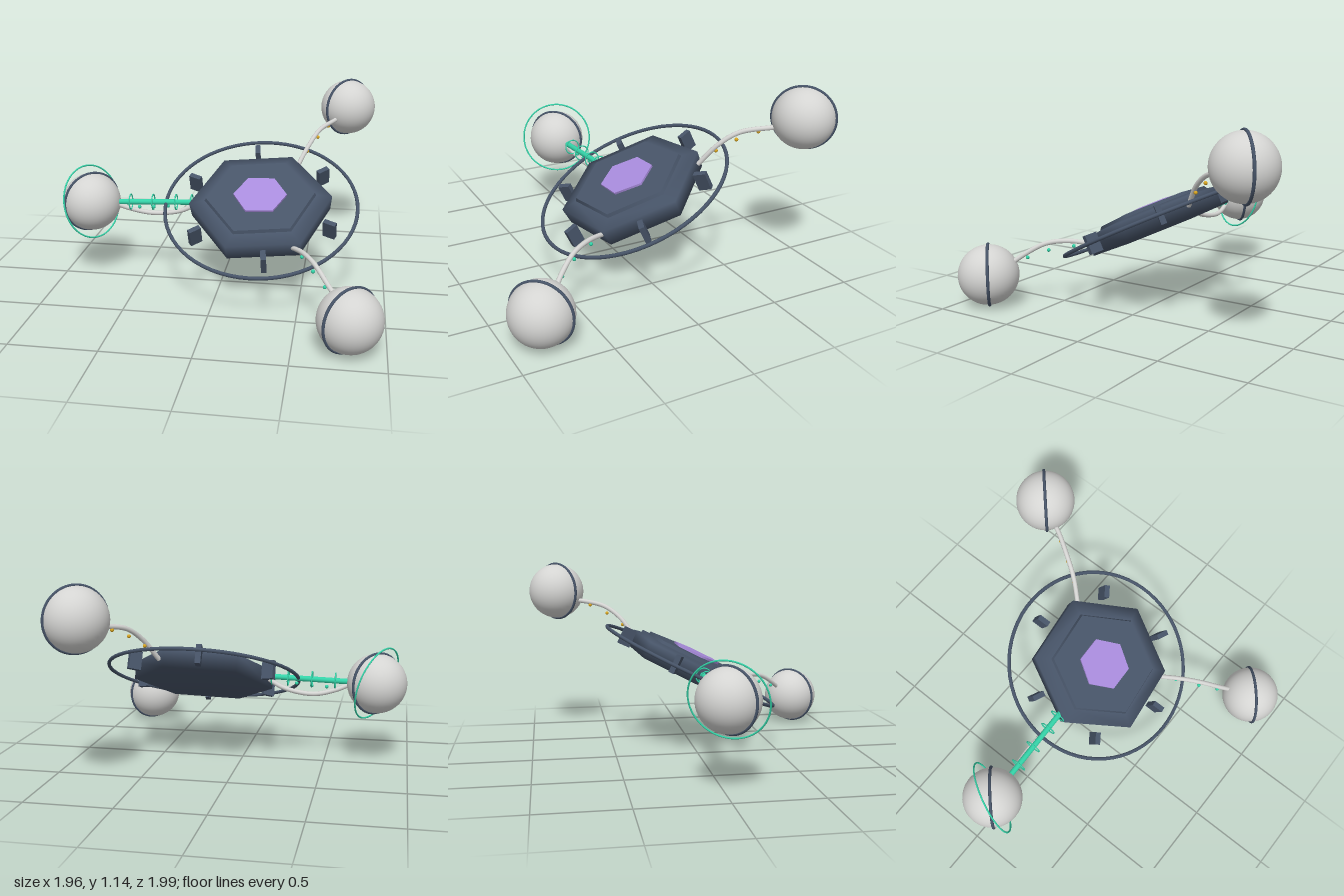
import * as THREE from 'three';

const mat = (name, color) => {
  const m = new THREE.MeshStandardMaterial({ color });
  m.name = name;
  return m;
};
const V = (a) => new THREE.Vector3(...a);
const rad = THREE.MathUtils.degToRad;

export function createModel() {
  const slate = mat('slate', 0x475468);
  const pale = mat('paleGrey', 0xd4d4d2);
  const purple = mat('purple', 0xa88bdc);
  const green = mat('green', 0x34d3a8);
  const gold = mat('gold', 0xd9a520);

  const root = new THREE.Group();
  root.name = 'hubWithPods';
  const add = (parent, name, geometry, material, pos = [0, 0, 0]) => {
    const mesh = new THREE.Mesh(geometry, material);
    mesh.name = name;
    mesh.position.set(...pos);
    parent.add(mesh);
    return mesh;
  };
  // Torus whose axis points along the given direction
  const hoop = (parent, name, r, tube, material, axis, pos) => {
    const mesh = add(parent, name, new THREE.TorusGeometry(r, tube, 8, 64), material, pos);
    mesh.quaternion.setFromUnitVectors(new THREE.Vector3(0, 0, 1), V(axis).normalize());
    return mesh;
  };

  // Tilted hexagonal hub
  const hub = new THREE.Group();
  hub.name = 'hub';
  hub.position.set(0.24, 0.52, -0.005);
  hub.rotation.x = rad(26);
  root.add(hub);
  const profile = [[0, -0.06], [0.42, -0.06], [0.43, 0.045], [0.34, 0.062], [0, 0.062]]
    .map(([x, y]) => new THREE.Vector2(x, y));
  add(hub, 'hubBody', new THREE.LatheGeometry(profile, 6, rad(38)), slate);
  add(hub, 'topPlate', new THREE.CylinderGeometry(0.325, 0.34, 0.03, 6, 1, false, rad(38)), slate, [0, 0.066, 0]);
  add(hub, 'centrePlaque', new THREE.CylinderGeometry(0.16, 0.16, 0.014, 6, 1, false, rad(33)), purple, [0, 0.087, 0]);
  hoop(hub, 'outerRing', 0.58, 0.011, slate, [0, 1, 0]);

  // Fins around the hub, one per side
  for (let i = 0; i < 6; i++) {
    const a = rad(22 + 60 * i);
    const fin = add(hub, 'fin', new THREE.BoxGeometry(0.075, 0.11, 0.032), slate,
      [0.455 * Math.cos(a), 0, 0.455 * Math.sin(a)]);
    fin.rotation.y = -a;
  }

  // Pods with their curved arms and bead trails
  const pods = [
    {
      name: 'rightPod', at: [-0.806, 0.5, 0.02], bead: green,
      arm: [[-0.14, 0.515, 0], [-0.26, 0.455, -0.01], [-0.43, 0.43, -0.022], [-0.56, 0.455, -0.005], [-0.66, 0.495, 0.02]],
      beads: [[-0.51, 0.473, 0], [-0.42, 0.477, 0], [-0.33, 0.487, 0]],
    },
    {
      name: 'backPod', at: [0.73, 0.966, -0.825], bead: gold,
      arm: [[0.43, 0.67, -0.33], [0.5, 0.8, -0.42], [0.56, 0.875, -0.52], [0.645, 0.905, -0.66], [0.67, 0.91, -0.72]],
      beads: [[0.49, 0.76, -0.41], [0.55, 0.83, -0.505], [0.61, 0.88, -0.61]],
    },
    {
      name: 'frontPod', at: [0.8, 0.198, 0.815], bead: green,
      arm: [[0.45, 0.373, 0.28], [0.53, 0.395, 0.42], [0.6, 0.38, 0.54], [0.67, 0.32, 0.64], [0.73, 0.26, 0.71]],
      beads: [[0.52, 0.365, 0.4], [0.59, 0.338, 0.533], [0.66, 0.295, 0.635]],
    },
  ];
  for (const p of pods) {
    const pod = new THREE.Group();
    pod.name = p.name;
    root.add(pod);
    add(pod, 'podSphere', new THREE.SphereGeometry(0.177, 40, 28), pale, p.at);
    hoop(pod, 'podBand', 0.179, 0.009, slate, [0.67, 0, 0.74], p.at);
    const curve = new THREE.CatmullRomCurve3(p.arm.map(V));
    add(pod, 'arm', new THREE.TubeGeometry(curve, 32, 0.014, 10), pale);
    for (const b of p.beads) add(pod, 'bead', new THREE.SphereGeometry(0.011, 12, 8), p.bead, b);
  }

  // Energised link on the right pod: rod, coils and orbit ring
  const rodPath = new THREE.LineCurve3(V([-0.64, 0.505, 0.016]), V([-0.15, 0.522, 0.004]));
  add(root, 'linkRod', new THREE.TubeGeometry(rodPath, 1, 0.017, 12), green);
  for (const x of [-0.56, -0.42, -0.277, -0.18]) {
    const t = (x + 0.64) / 0.49;
    hoop(root, 'linkCoil', 0.046, 0.004, green, [1, 0.035, -0.02], rodPath.getPoint(t).toArray());
  }
  hoop(root, 'orbitRing', 0.224, 0.005, green, [0.84, 0.26, 0.46], pods[0].at);

  return root;
}
